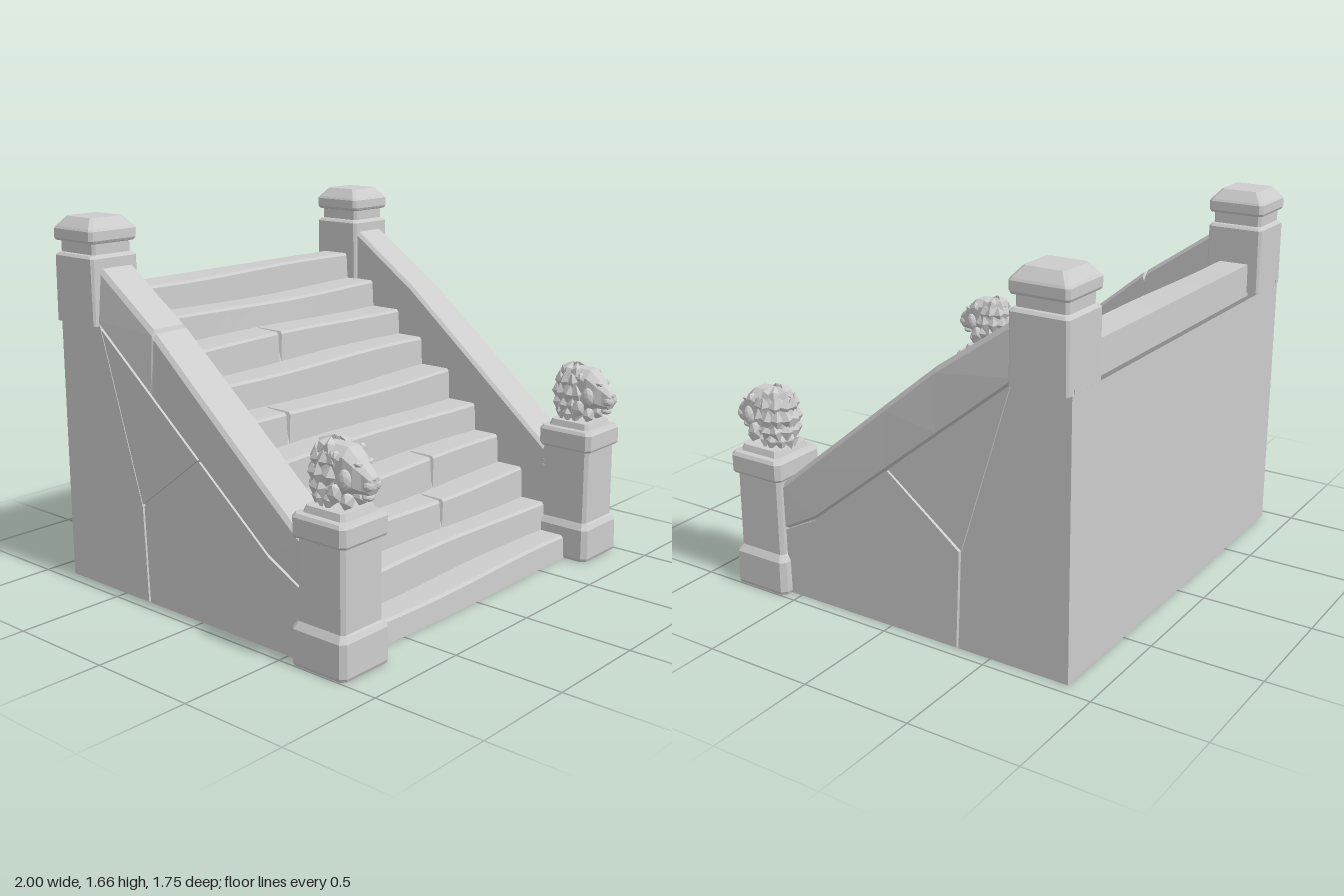
import * as THREE from 'three';

const stone = new THREE.MeshStandardMaterial({ color: 0xcccccc, flatShading: true, side: THREE.DoubleSide });
stone.name = 'grey stone';

function mesh(parent, name, geometry) {
  const m = new THREE.Mesh(geometry, stone);
  m.name = name;
  parent.add(m);
  return m;
}

// Surface through rows of [x, y, z] points, with optional end caps
function skin(rows, capStart = false, capEnd = false) {
  const n = rows[0].length, index = [];
  for (let i = 0; i < rows.length - 1; i++) {
    for (let j = 0; j < n - 1; j++) {
      const a = i * n + j, b = a + n;
      index.push(a, b, a + 1, a + 1, b, b + 1);
    }
  }
  const last = (rows.length - 1) * n;
  for (let j = 1; j < n - 2; j++) {
    if (capStart) index.push(0, j, j + 1);
    if (capEnd) index.push(last, last + j + 1, last + j);
  }
  const g = new THREE.BufferGeometry();
  g.setAttribute('position', new THREE.Float32BufferAttribute(rows.flat(2), 3));
  g.setIndex(index);
  const flat = g.toNonIndexed();
  flat.computeVertexNormals();
  return flat;
}

// Stack of chamfered rectangles: [y, halfX, halfZ, chamfer, centreZ]
function loft(rings, capBottom = false) {
  return skin(rings.map(([y, w, d, c, cz = 0]) => [
    [w, d - c], [w - c, d], [c - w, d], [-w, d - c],
    [-w, c - d], [c - w, -d], [w - c, -d], [w, c - d], [w, d - c],
  ].map(([x, z]) => [x, y, z + cz])), capBottom, true);
}

// Flight of ten worn steps, with a few split treads
const stepY = [0.11, 0.25, 0.39, 0.53, 0.67, 0.81, 0.95, 1.08, 1.2, 1.33];
const stepZ = [0.73, 0.59, 0.46, 0.32, 0.17, 0.01, -0.16, -0.32, -0.49, -0.65];
const cracks = { 2: 0.1, 3: 0.21, 5: -0.41, 7: -0.12 };

function stairs() {
  const xs = [-0.735, -0.55, -0.27, 0, 0.35, 0.55, 0.735];
  for (const c of Object.values(cracks)) xs.push(c - 0.012, c, c + 0.012);
  xs.sort((a, b) => b - a);
  const wave = (x, i) => 0.006 * Math.sin(x * 4 + i * 2.1);
  const rows = [];
  stepY.forEach((y, i) => {
    const dent = x => (cracks[i] === x ? 0.025 : 0);
    const below = x => (i ? stepY[i - 1] + wave(x, i - 1) : 0);
    rows.push(xs.map(x => [x, below(x), stepZ[i] + wave(x, i + 4)]));
    rows.push(xs.map(x => [x, y - 0.012 + wave(x, i) - dent(x), stepZ[i] - 0.006 + wave(x, i + 4) - dent(x)]));
    rows.push(xs.map(x => [x, y + wave(x, i) - dent(x), stepZ[i] - 0.016 + wave(x, i + 4) - dent(x)]));
  });
  rows.push(xs.map(x => [x, 1.33, -0.81]));
  rows.push(xs.map(x => [x, 1.18, -0.812]));
  return skin(rows);
}

// Sloping rail: outer band, rounded top and inner face
function rail(broken) {
  // z, top, outer bottom, outer x
  const stations = [
    [0.57, 0.525, 0.31, 0.952], [0.4, 0.665, 0.4, 0.952],
    [0, 0.995, 0.72, 0.948], [-0.25, 1.2, 0.92, 0.942], [-0.62, 1.455, 1.216, 0.93],
  ];
  if (broken) {
    stations.splice(4, 0, [-0.262, 1.208, 0.93, 0.942], [-0.27, 1.19, 0.936, 0.93], [-0.282, 1.222, 0.946, 0.934]);
  }
  return skin(stations.map(([z, top, low, x]) => [
    [0.928, low - 0.006, z], [0.95, low + 0.008, z], [x, top - 0.025, z], [x - 0.014, top, z],
    [0.758, top, z], [0.744, top - 0.02, z], [0.741, 0.11 + (0.59 - z) * 0.88, z],
  ]));
}

// Outer wall slab from [z, y] corners
function slab(corners, depth, x) {
  const shape = new THREE.Shape(corners.map(([z, y]) => new THREE.Vector2(-z, y)));
  const g = depth ? new THREE.ExtrudeGeometry(shape, { depth, bevelEnabled: false }) : new THREE.ShapeGeometry(shape);
  return g.rotateY(Math.PI / 2).translate(x, 0, 0);
}

// Carved lion head, facing +z
function lionHead() {
  const head = new THREE.Group();
  head.name = 'lionHead';
  const blob = (name, x, y, z, sx, sy, sz, detail = 1) => {
    const m = mesh(head, name, new THREE.IcosahedronGeometry(1, detail));
    m.position.set(x, y, z);
    m.scale.set(sx, sy, sz);
    return m;
  };
  blob('maneCore', 0, 0.785, 0.672, 0.088, 0.13, 0.095);

  // Overlapping tufts around the back and sides
  const rows = [[0.895, 0.05, 6], [0.845, 0.078, 8], [0.79, 0.088, 9], [0.735, 0.084, 8], [0.69, 0.07, 8]];
  rows.forEach(([y, r, count], row) => {
    for (let k = 0; k < count; k++) {
      const a = ((k + 0.5) / count - 0.5) * 4.6 + (row % 2 ? 0.12 : -0.12);
      const tuft = mesh(head, 'maneTuft', new THREE.OctahedronGeometry(1));
      tuft.position.set(Math.sin(a) * r * 0.92, y, 0.672 - Math.cos(a) * r * 1.05);
      tuft.rotation.order = 'YXZ';
      tuft.rotation.set(row === 0 ? -0.75 : 0.12 - row * 0.06, Math.PI - a, 0.25 * Math.sin(k * 2.3 + row));
      tuft.scale.set(0.033, 0.045, 0.024);
    }
  });

  // Face tapering to the muzzle
  mesh(head, 'face', loft([
    [0.68, 0.07, 0.105, 0.035, -0.805], [0.765, 0.066, 0.095, 0.035, -0.81],
    [0.805, 0.056, 0.07, 0.028, -0.8], [0.835, 0.04, 0.054, 0.02, -0.782],
    [0.862, 0.034, 0.042, 0.016, -0.772], [0.874, 0.026, 0.022, 0.01, -0.778],
  ]).rotateX(Math.PI / 2));
  blob('chin', 0, 0.718, 0.84, 0.028, 0.018, 0.025);
  blob('nose', 0, 0.796, 0.868, 0.019, 0.013, 0.013, 0);
  for (const s of [-1, 1]) {
    blob('ear', s * 0.076, 0.872, 0.742, 0.022, 0.027, 0.016, 0);
    blob('brow', s * 0.03, 0.845, 0.815, 0.026, 0.013, 0.018, 0).rotation.z = s * 0.35;
    blob('eye', s * 0.031, 0.822, 0.825, 0.012, 0.008, 0.012, 0);
    blob('muzzle', s * 0.02, 0.768, 0.856, 0.024, 0.024, 0.024);
    blob('cheek', s * 0.062, 0.785, 0.775, 0.026, 0.045, 0.03);
    blob('ruff', s * 0.078, 0.725, 0.735, 0.026, 0.045, 0.035, 0);
    blob('ruff', s * 0.042, 0.695, 0.77, 0.034, 0.038, 0.03, 0);
  }
  return head;
}

function side(sign) {
  const g = new THREE.Group();
  g.name = sign > 0 ? 'leftBalustrade' : 'rightBalustrade';
  g.scale.x = sign;
  mesh(g, 'rail', rail(sign < 0));

  // Cracked outer wall over a recessed backing
  mesh(g, 'wallBacking', slab([[0.57, 0], [0.57, 0.33], [0.4, 0.42], [-0.6, 1.22], [-0.868, 1.22], [-0.868, 0]], 0, 0.929));
  [
    [[0.57, 0], [0.57, 0.302], [0.4, 0.388], [0, 0.708], [-0.353, 0.438], [-0.334, 0]],
    [[-0.008, 0.714], [-0.597, 1.184], [-0.364, 0.446]],
    [[-0.346, 0], [-0.366, 0.436], [-0.606, 1.2], [-0.868, 1.2], [-0.868, 0]],
  ].forEach(p => mesh(g, 'wallPanel', slab(p, 0.016, 0.93)));

  // Front post: base, shaft, cap and plinth
  const front = mesh(g, 'frontPost', loft([
    [0, 0.138, 0.138, 0.02], [0.015, 0.144, 0.144, 0.022], [0.155, 0.142, 0.142, 0.022],
    [0.178, 0.126, 0.13, 0.02], [0.185, 0.121, 0.123, 0.015], [0.53, 0.119, 0.121, 0.015],
    [0.534, 0.134, 0.134, 0.02], [0.545, 0.14, 0.14, 0.02], [0.615, 0.14, 0.14, 0.02],
    [0.63, 0.13, 0.13, 0.02], [0.632, 0.105, 0.108, 0.015], [0.66, 0.096, 0.1, 0.015],
  ]));
  front.position.set(0.855, 0, 0.697);
  const head = lionHead();
  head.position.x = 0.853;
  g.add(head);

  // Rear post with a bevelled cap
  const rear = mesh(g, 'rearPost', loft([
    [1.198, 0.126, 0.13, 0.008], [1.488, 0.126, 0.13, 0.012], [1.5, 0.115, 0.12, 0.012],
    [1.503, 0.104, 0.115, 0.012], [1.55, 0.104, 0.115, 0.012], [1.554, 0.124, 0.126, 0.012],
    [1.565, 0.13, 0.132, 0.015], [1.605, 0.13, 0.132, 0.015], [1.615, 0.124, 0.126, 0.015],
    [1.658, 0.087, 0.09, 0.012],
  ], true));
  rear.position.set(0.848, 0, -0.735);
  return g;
}

export function createModel() {
  const model = new THREE.Group();
  model.name = 'stoneStaircase';
  mesh(model, 'steps', stairs());
  const back = mesh(model, 'backWall', new THREE.PlaneGeometry(1.892, 1.2));
  back.rotation.y = Math.PI;
  back.position.set(0, 0.6, -0.868);
  model.add(side(1), side(-1));
  return model;
}
